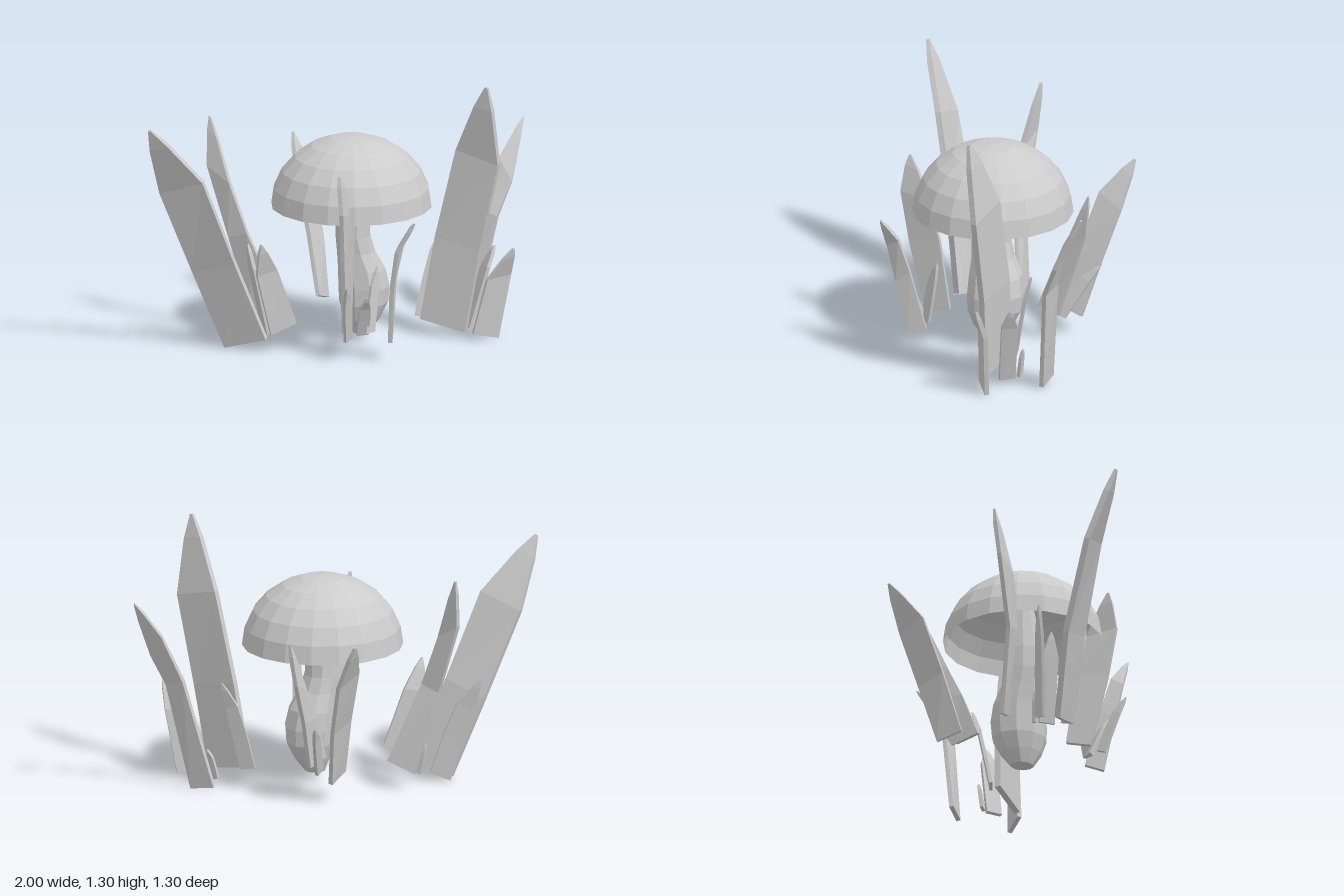
import * as THREE from 'three';

const material = new THREE.MeshStandardMaterial({ color: 0xcccccc, flatShading: true });
const V = (a) => new THREE.Vector3(...a);

// Blade of grass: rows of [left, right] edge points from the base up, closing in a point
function blade(name, rows, tip, thick = 0.022) {
  const edges = rows.map(([l, r]) => [V(l), V(r)]);
  const [lastL, lastR] = edges[edges.length - 1];
  const mid = lastL.clone().add(lastR).multiplyScalar(0.5);
  const width = lastR.clone().sub(lastL);
  [[0.7, 0.21], [1, 0.03]].forEach(([f, w]) => {
    const c = mid.clone().lerp(V(tip), f);
    edges.push([c.clone().addScaledVector(width, -w), c.clone().addScaledVector(width, w)]);
  });
  const mids = edges.map(([l, r]) => l.clone().add(r).multiplyScalar(0.5));
  const pos = [], index = [];
  edges.forEach(([l, r], i) => {
    const along = mids[Math.min(i + 1, mids.length - 1)].clone().sub(mids[Math.max(i - 1, 0)]);
    const n = r.clone().sub(l).cross(along).normalize();
    n.multiplyScalar(thick / (i === edges.length - 1 ? 4 : 2));
    const ring = [l.clone().sub(n), l.clone().add(n), r.clone().add(n), r.clone().sub(n)];
    ring.forEach((p) => pos.push(p.x, p.y, p.z));
    if (i === 0) return;
    for (let k = 0; k < 4; k++) {
      const a = (i - 1) * 4 + k, b = (i - 1) * 4 + (k + 1) % 4;
      index.push(a, b, b + 4, a, b + 4, a + 4);
    }
  });
  const t = (edges.length - 1) * 4;
  index.push(0, 2, 1, 0, 3, 2, t, t + 1, t + 2, t, t + 2, t + 3);
  const g = new THREE.BufferGeometry();
  g.setAttribute('position', new THREE.Float32BufferAttribute(pos, 3));
  g.setIndex(index);
  g.computeVertexNormals();
  const mesh = new THREE.Mesh(g, material);
  mesh.name = name;
  return mesh;
}

// Small sprout: slim blade of a given width vector, from base centre to tip
function sprout(base, tip, wide) {
  const b = V(base), t = V(tip), w = V(wide).multiplyScalar(0.5);
  const row = (f, s, lag) => {
    const c = b.clone().lerp(t, f);
    c.x = b.x + (t.x - b.x) * lag;
    c.z = b.z + (t.z - b.z) * lag;
    return [c.clone().addScaledVector(w, -s).toArray(), c.clone().addScaledVector(w, s).toArray()];
  };
  return blade('sprout', [row(0, 1, 0), row(0.4, 1, 0.33), row(0.72, 0.85, 0.62)], tip, 0.016);
}

// Domed cap: the lower half of a sphere is folded up to hollow the underside
function makeCap() {
  const g = new THREE.SphereGeometry(0.395, 18, 12);
  const p = g.attributes.position;
  for (let i = 0; i < p.count; i++) {
    const y = p.getY(i);
    p.setY(i, y < 0 ? -y * 0.78 : y * 0.89);
  }
  g.computeVertexNormals();
  const cap = new THREE.Mesh(g, material);
  cap.position.set(0.063, 0.69, 0.067);
  cap.name = 'cap';
  return cap;
}

// Bent stem with a swollen foot: each ring is [x, y, z, radius], deeper than wide
function makeStem() {
  const rings = [
    [0.1, 0.04, 0.07, 0.001], [0.1, 0.05, 0.07, 0.05], [0.115, 0.12, 0.068, 0.09],
    [0.125, 0.2, 0.062, 0.12], [0.127, 0.28, 0.06, 0.124], [0.115, 0.37, 0.06, 0.115],
    [0.085, 0.46, 0.068, 0.093], [0.068, 0.54, 0.075, 0.085], [0.066, 0.65, 0.075, 0.08],
    [0.07, 0.8, 0.07, 0.06], [0.07, 0.98, 0.07, 0.03],
  ];
  const g = new THREE.LatheGeometry(rings.map((r) => new THREE.Vector2(r[3], r[1])), 10);
  const p = g.attributes.position;
  for (let i = 0; i < p.count; i++) {
    const r = rings[i % rings.length];
    p.setX(i, p.getX(i) + r[0]);
    p.setZ(i, p.getZ(i) * 1.15 + r[2]);
  }
  g.computeVertexNormals();
  const stem = new THREE.Mesh(g, material);
  stem.name = 'stem';
  return stem;
}

export function createModel() {
  const model = new THREE.Group();
  model.name = 'mushroomInGrass';
  model.add(makeCap(), makeStem());

  // Tall blades on the right and left
  model.add(
    blade('rightTallBlade', [
      [[-0.57, 0.01, 0.07], [-0.39, 0.07, 0.19]],
      [[-0.73, 0.4, 0.07], [-0.55, 0.47, 0.2]],
      [[-0.91, 0.83, 0.13], [-0.72, 0.9, 0.24]],
    ], [-0.99, 1.18, 0.255], 0.03),
    blade('rightBackBlade', [
      [[-0.38, 0.09, -0.16], [-0.25, 0.14, -0.1]],
      [[-0.5, 0.5, -0.16], [-0.42, 0.53, -0.1]],
      [[-0.59, 0.85, -0.23], [-0.5, 0.78, -0.14]],
    ], [-0.575, 1.09, -0.25]),
    blade('leftTallBlade', [
      [[0.42, 0.08, 0.03], [0.61, 0.04, 0.18]],
      [[0.49, 0.5, 0.05], [0.68, 0.46, 0.2]],
      [[0.58, 0.95, 0.11], [0.76, 0.9, 0.25]],
    ], [0.695, 1.3, 0.265], 0.03),
    blade('leftBackBlade', [
      [[0.6, 0.03, -0.155], [0.71, 0.01, -0.09]],
      [[0.75, 0.57, -0.16], [0.83, 0.54, -0.09]],
      [[0.86, 0.81, -0.19], [0.91, 0.7, -0.13]],
    ], [0.995, 0.99, -0.25]),
  );

  // Blades behind and in front
  model.add(
    blade('backTallBlade', [
      [[-0.03, 0.14, -0.27], [0.04, 0.1, -0.375]],
      [[-0.055, 0.43, -0.37], [0.035, 0.38, -0.47]],
      [[-0.09, 0.7, -0.48], [0.01, 0.64, -0.57]],
    ], [-0.07, 0.87, -0.65]),
    blade('backShortBlade', [
      [[0.06, 0.18, -0.16], [0.14, 0.15, -0.25]],
      [[0.11, 0.4, -0.23], [0.17, 0.39, -0.32]],
      [[0.16, 0.56, -0.29], [0.21, 0.6, -0.375]],
    ], [0.24, 0.81, -0.38]),
    blade('frontTallBlade', [
      [[-0.045, 0.13, 0.38], [0.01, 0.155, 0.27]],
      [[-0.07, 0.5, 0.46], [0.01, 0.52, 0.32]],
      [[-0.085, 0.76, 0.5], [0, 0.73, 0.37]],
    ], [-0.085, 0.945, 0.455]),
    blade('frontShortBlade', [
      [[0.16, 0.1, 0.5], [0.185, 0.13, 0.41]],
      [[0.155, 0.38, 0.555], [0.185, 0.44, 0.49]],
      [[0.17, 0.58, 0.6], [0.21, 0.62, 0.55]],
    ], [0.25, 0.74, 0.645]),
  );

  // Short blades beside the cap
  model.add(
    blade('leftFrontShortBlade', [
      [[0.64, 0.035, 0.2], [0.77, 0.005, 0.185]],
      [[0.71, 0.31, 0.21], [0.83, 0.33, 0.2]],
    ], [0.835, 0.47, 0.245]),
    blade('leftShortBlade', [
      [[0.63, 0.035, 0.03], [0.65, 0.035, 0.11]],
      [[0.73, 0.34, 0.03], [0.74, 0.34, 0.11]],
    ], [0.78, 0.44, 0.07], 0.018),
    blade('rightFrontShortBlade', [
      [[-0.37, 0.09, 0.195], [-0.24, 0.14, 0.185]],
      [[-0.445, 0.4, 0.215], [-0.34, 0.42, 0.2]],
    ], [-0.43, 0.565, 0.25]),
    blade('rightShortBlade', [
      [[-0.37, 0.07, 0.03], [-0.36, 0.07, 0.11]],
      [[-0.44, 0.4, 0.03], [-0.43, 0.4, 0.11]],
    ], [-0.455, 0.52, 0.07], 0.018),
  );

  // Small sprouts around the foot
  const sprouts = [
    [[-0.51, 0.03, 0], [-0.71, 0.54, -0.06], [0.1, 0.04, -0.01]],
    [[-0.4, 0.05, 0], [-0.44, 0.2, -0.01], [0.03, 0.01, 0.02]],
    [[0.43, 0.08, 0], [0.56, 0.53, -0.06], [0.07, -0.01, 0.02]],
    [[0.59, 0.03, 0], [0.63, 0.18, -0.01], [0.03, -0.01, 0.02]],
    [[-0.035, 0.11, 0.435], [-0.07, 0.4, 0.55], [0.04, 0.02, -0.03]],
    [[0.045, 0.12, 0.39], [0.045, 0.33, 0.5], [0.06, 0, -0.01]],
    [[0.08, 0.13, 0.4], [0.13, 0.45, 0.35], [0.05, 0, -0.03]],
    [[0.09, 0.13, -0.26], [0.12, 0.4, -0.46], [0.03, -0.02, -0.05]],
  ];
  sprouts.forEach((s) => model.add(sprout(...s)));
  return model;
}
